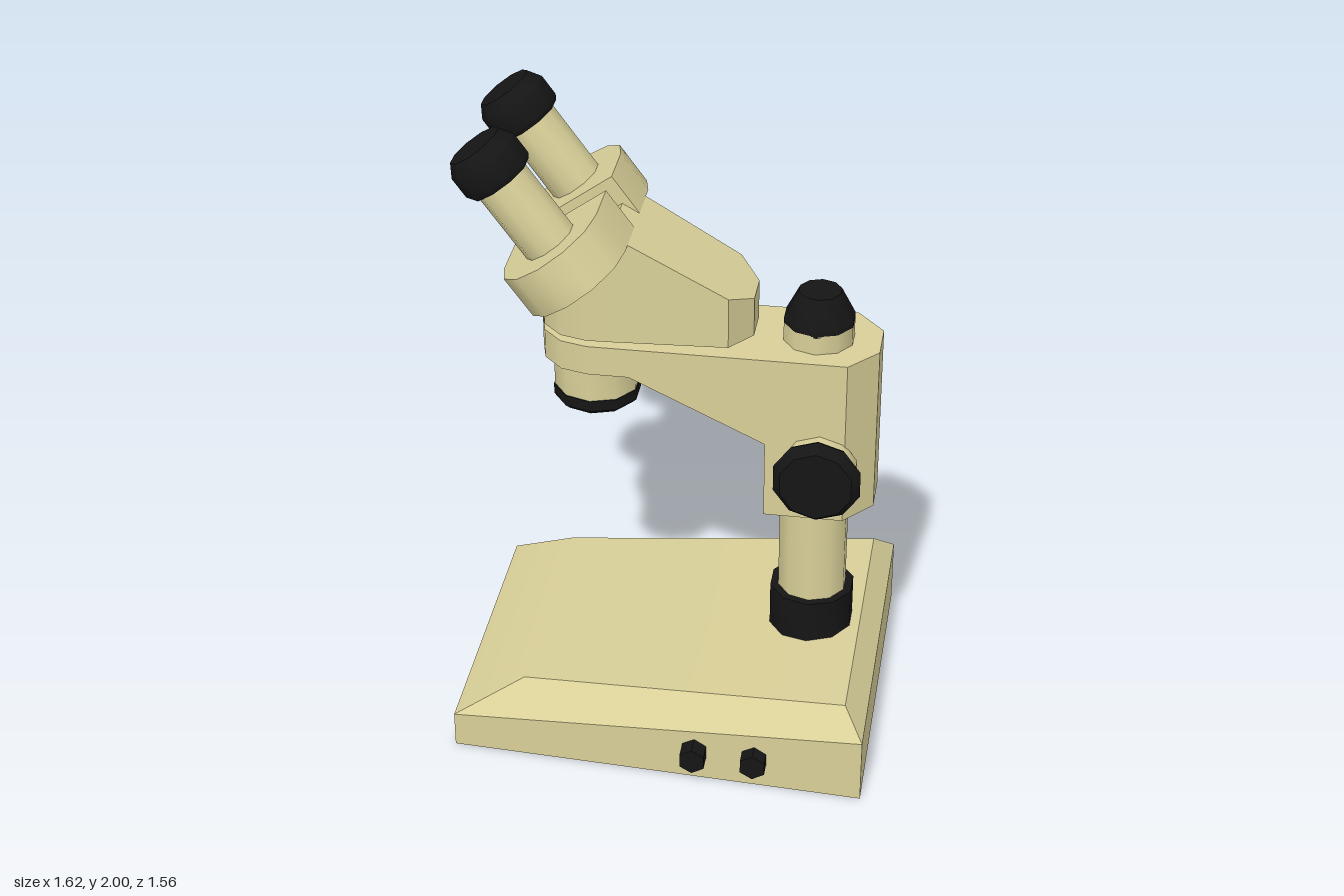
import * as THREE from 'three';
import { toCreasedNormals } from 'three/addons/utils/BufferGeometryUtils.js';
import { ConvexGeometry } from 'three/addons/geometries/ConvexGeometry.js';

const tan = new THREE.MeshStandardMaterial({ color: 0xd8cf98 });
const black = new THREE.MeshStandardMaterial({ color: 0x151515 });
const SIDES = 10;

function add(parent, name, geometry, material, x = 0, y = 0, z = 0) {
  const mesh = new THREE.Mesh(geometry, material);
  mesh.name = name;
  mesh.position.set(x, y, z);
  parent.add(mesh);
  return mesh;
}

// Closed turned solid from [radius, height] pairs, bottom to top
function turned(profile, sides = SIDES) {
  const pts = [[0, profile[0][1]], ...profile, [0, profile.at(-1)[1]]];
  return toCreasedNormals(new THREE.LatheGeometry(pts.map(([r, y]) => new THREE.Vector2(r, y)), sides), 0.65);
}

// Convex solid over a plan of [x, z] pairs; heights may vary with x
function prism(plan, bottom, top) {
  const at = (h, x) => (typeof h === 'function' ? h(x) : h);
  const pts = plan.flatMap(([x, z]) => [
    new THREE.Vector3(x, at(bottom, x), z),
    new THREE.Vector3(x, at(top, x), z),
  ]);
  return toCreasedNormals(new ConvexGeometry(pts), 0.65);
}

// Both mirrored copies of the given [x, z] points
const mirrored = (pts) => pts.flatMap(([x, z]) => [[x, z], [x, -z]]);

// Half circle bulging towards -x
function roundFront(cx, r, steps = 6) {
  return Array.from({ length: steps + 1 }, (_, i) => {
    const a = Math.PI / 2 + (Math.PI * i) / steps;
    return [cx + r * Math.cos(a), r * Math.sin(a)];
  });
}

function buildBase(g) {
  const corners = [
    [-0.67, 0, 0.465], [0.607, 0, 0.535],          // footprint
    [-0.67, 0.115, 0.465], [0.607, 0.21, 0.535],   // top of the walls
    [-0.46, 0.225, 0.385], [0.545, 0.285, 0.45],   // deck
  ];
  const pts = corners.flatMap(([x, y, z]) => [new THREE.Vector3(x, y, z), new THREE.Vector3(x, y, -z)]);
  add(g, 'base', toCreasedNormals(new ConvexGeometry(pts), 0.45), tan);
  for (const x of [0.092, 0.278]) {
    const knob = add(g, 'baseSwitch', turned([[0.043, 0], [0.043, 0.075]], 6), black, x, 0.1, 0.488);
    knob.rotation.x = Math.PI / 2;
  }
}

function buildColumn(g) {
  const x = 0.388;
  add(g, 'column', turned([[0.108, 0.25], [0.108, 1.36]]), tan, x);
  add(g, 'columnCollar', turned([[0.133, 0.27], [0.133, 0.415]]), black, x);
  add(g, 'columnCap', turned([[0.108, 1.355], [0.108, 1.375], [0.065, 1.46]]), black, x);
}

function buildArm(g) {
  add(g, 'focusBlock', prism(mirrored([[0.25, 0.163], [0.49, 0.163], [0.575, 0.065]]), 0.76, 1.3), tan);
  // Level round front of the arm, then the part that deepens towards the block
  add(g, 'armFront', prism([...roundFront(-0.285, 0.163), ...mirrored([[-0.16, 0.163]])], 1.205, 1.3), tan);
  add(g, 'armBrace', prism(mirrored([[-0.16, 0.163], [0.26, 0.163]]),
    (x) => 1.205 - 0.475 * (x + 0.16), 1.3), tan);
  add(g, 'objective', turned([[0.13, 1.085], [0.13, 1.21]]), tan, -0.285);
  add(g, 'objectiveRing', turned([[0.117, 1.04], [0.133, 1.055], [0.133, 1.09]]), black, -0.285);

  // Focus knobs on both sides
  for (const side of [1, -1]) {
    const knob = new THREE.Group();
    knob.name = side > 0 ? 'focusKnobRight' : 'focusKnobLeft';
    knob.position.set(0.415, 0.935, 0);
    knob.rotation.x = (side * Math.PI) / 2;
    add(knob, 'knobBody', turned([[0.118, 0.15], [0.118, 0.22]]), tan);
    add(knob, 'knobCap', turned([[0.13, 0.21], [0.137, 0.225], [0.112, 0.257]]), black);
    g.add(knob);
  }
}

function buildHead(g) {
  // Roof rises from the back to a ridge, then falls to the front
  const roof = (x) => Math.min(1.445 + 0.56 * (0.2 - x), 1.5 + 0.72 * (x + 0.45));
  const ridge = (1.445 + 0.112 - 1.5 - 0.324) / 1.28;
  const plan = [
    ...roundFront(-0.285, 0.163),
    ...mirrored([[ridge, 0.16], [0.135, 0.14], [0.2, 0.055]]),
  ];
  add(g, 'head', prism(plan, 1.32, (x) => Math.min(roof(x), 1.68)), tan);
  add(g, 'headPivot', turned([[0.12, 1.29], [0.12, 1.33]]), tan, -0.285);

  // Tilted eyepieces, each on a plate rounded at its outer end
  for (const side of [1, -1]) {
    const eye = new THREE.Group();
    eye.name = side > 0 ? 'eyepieceRight' : 'eyepieceLeft';
    eye.position.set(-0.377, 1.66, side * 0.197);
    eye.rotation.z = 0.625;
    const outline = [
      ...roundFront(0, 0.17).map(([x, z]) => [z, -x * side]),
      [-0.17, -0.152 * side], [0.17, -0.152 * side],
    ];
    add(eye, 'eyepiecePlate', prism(outline, -0.14, 0), tan);
    add(eye, 'eyepieceTube', turned([[0.083, -0.02], [0.083, 0.25]]), tan);
    add(eye, 'eyecup', turned([[0.1, 0.235], [0.11, 0.25], [0.11, 0.318], [0.085, 0.358]]), black);
    g.add(eye);
  }
}

export function createModel() {
  const model = new THREE.Group();
  model.name = 'stereoMicroscope';
  // Parts are laid out along x, then turned on the spot
  const body = new THREE.Group();
  body.name = 'microscope';
  body.rotation.y = -0.632;
  body.position.set(0.006, 0, -0.008);
  buildBase(body);
  buildColumn(body);
  buildArm(body);
  buildHead(body);
  model.add(body);
  return model;
}
